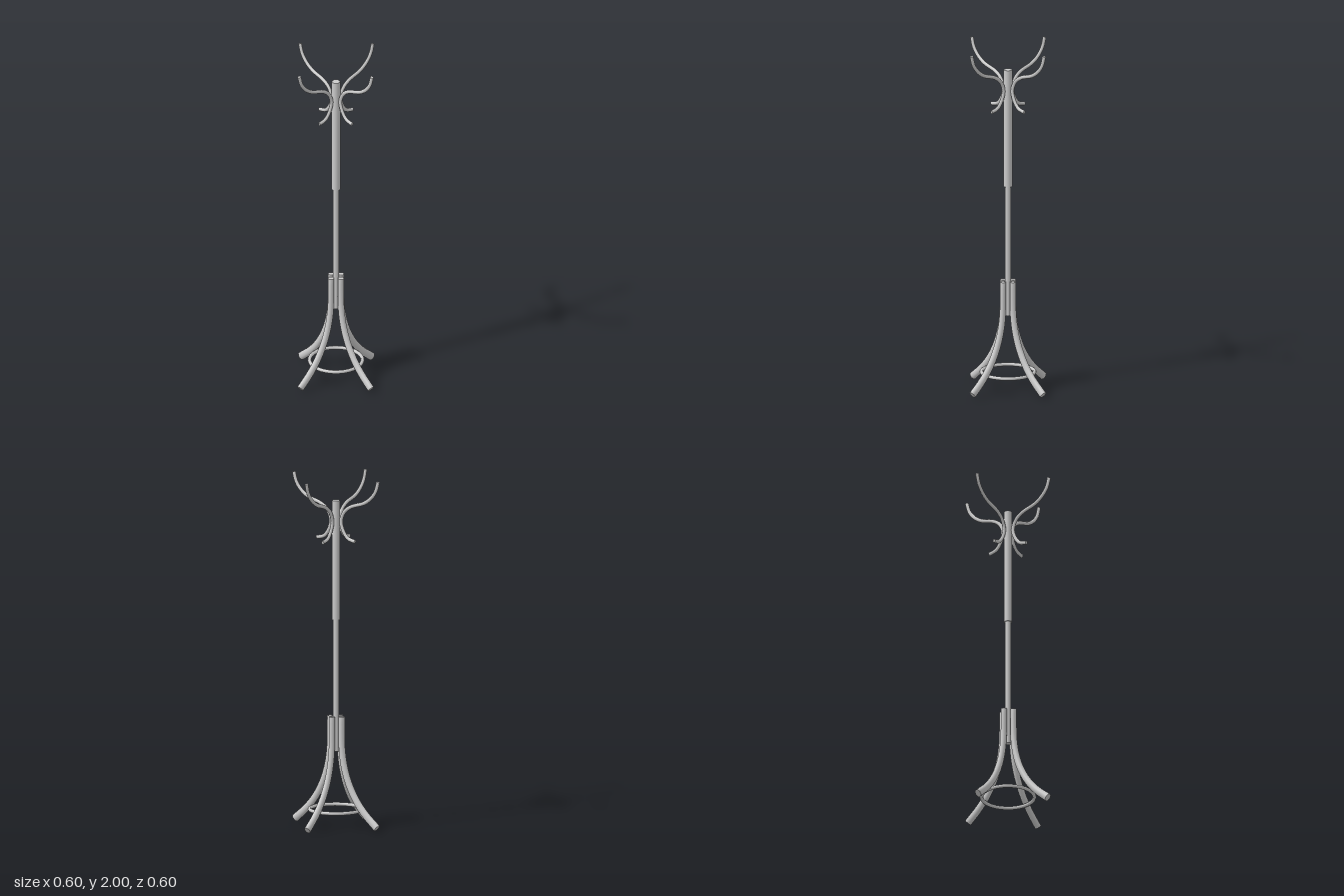
import * as THREE from 'three';

const material = new THREE.MeshStandardMaterial({ color: 0xcccccc, side: THREE.DoubleSide });

// Sweeps an oval section along a curve lying in the xy plane, with closed ends.
// inPlane(t) is the radius within the plane, across is the radius along z.
function sweep(points, steps, sides, inPlane, across) {
  const curve = new THREE.CatmullRomCurve3(points.map(([x, y]) => new THREE.Vector3(x, y, 0)));
  const pos = [], index = [];
  const addRing = (t) => {
    const p = curve.getPointAt(t), d = curve.getTangentAt(t);
    for (let j = 0; j < sides; j++) {
      const a = (j / sides) * Math.PI * 2, r = inPlane(t) * Math.cos(a);
      pos.push(p.x - d.y * r, p.y + d.x * r, across * Math.sin(a));
    }
  };
  for (let i = 0; i <= steps; i++) addRing(i / steps);
  for (let i = 0; i < steps; i++) {
    for (let j = 0; j < sides; j++) {
      const k = (j + 1) % sides, a = i * sides, b = a + sides;
      index.push(a + j, a + k, b + k, a + j, b + k, b + j);
    }
  }
  // end caps have their own corners so that the rims stay sharp
  for (const t of [0, 1]) {
    const base = pos.length / 3;
    addRing(t);
    for (let j = 1; j < sides - 1; j++) {
      if (t) index.push(base, base + j, base + j + 1);
      else index.push(base, base + j + 1, base + j);
    }
  }
  const geometry = new THREE.BufferGeometry();
  geometry.setAttribute('position', new THREE.Float32BufferAttribute(pos, 3));
  geometry.setIndex(index);
  geometry.computeVertexNormals();
  return geometry;
}

export function createModel() {
  const model = new THREE.Group();
  model.name = 'coatStand';
  const add = (name, geometry, y = 0) => {
    const mesh = new THREE.Mesh(geometry, material);
    mesh.name = name;
    mesh.position.y = y;
    model.add(mesh);
    return mesh;
  };

  // pole: thick upper part, thinner lower part ending between the legs
  const pole = (name, radius, bottom, top) =>
    add(name, new THREE.CylinderGeometry(radius, radius, top - bottom, 16), (bottom + top) / 2);
  pole('upperPole', 0.024, 1.18, 1.86);
  pole('lowerPole', 0.018, 0.43, 1.18);

  // legs run straight beside the pole, then flare out to a thicker foot
  const leg = sweep(
    [[0.039, 0.63], [0.039, 0.54], [0.041, 0.45], [0.056, 0.35], [0.087, 0.255],
      [0.138, 0.162], [0.2, 0.088], [0.28, 0.019]],
    18, 10, (t) => 0.017 + 0.006 * t, 0.0175);

  // double hooks: long upper horn, bow against the pole, short lower peg
  const hook = sweep(
    [[0.288, 1.994], [0.272, 1.94], [0.24, 1.897], [0.19, 1.862], [0.1, 1.832], [0.057, 1.8],
      [0.035, 1.745], [0.05, 1.69], [0.082, 1.65], [0.13, 1.637]],
    28, 8, () => 0.011, 0.009);

  for (let i = 0; i < 4; i++) {
    add('leg', leg).rotation.y = (i * Math.PI) / 2;
    add('coatHook', hook).rotation.y = (i * Math.PI) / 2;
  }

  // ring bracing the legs
  add('braceRing', new THREE.TorusGeometry(0.149, 0.0105, 8, 28).rotateX(Math.PI / 2), 0.1);

  return model;
}
